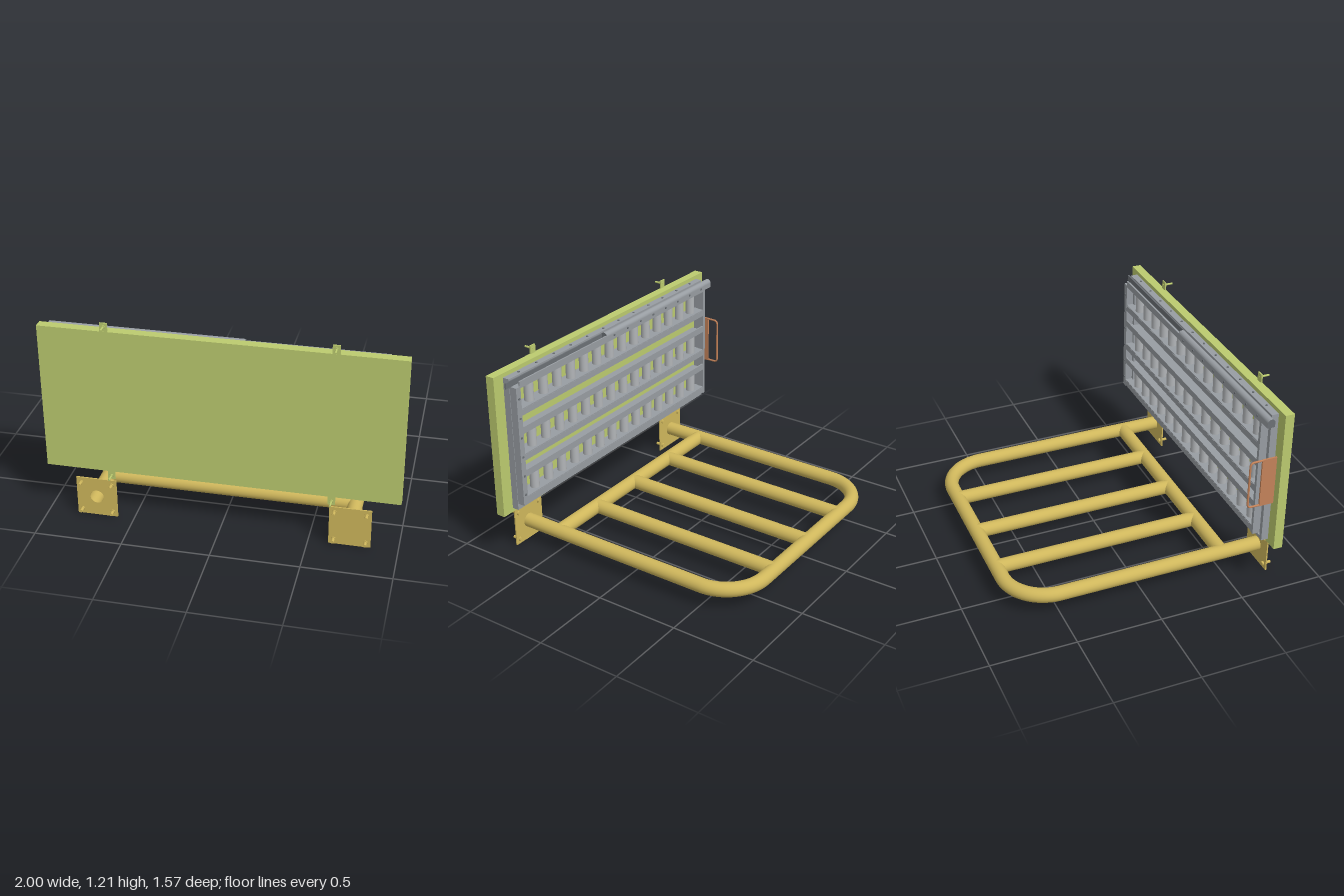
import * as THREE from 'three';

export function createModel() {
  const root = new THREE.Group();
  const mat = (name, color, side = THREE.FrontSide) => {
    const m = new THREE.MeshStandardMaterial({ color, side });
    m.name = name;
    return m;
  };
  const yellow = mat('yellow paint', 0xcfb75c, THREE.DoubleSide);
  const green = mat('green paint', 0xbccb6f);
  const grey = mat('grey steel', 0x989da2);
  const darkGrey = mat('dark steel', 0x6c7176);
  const light = mat('light roller', 0xb2b5b8);
  const copper = mat('copper', 0xc4835a);

  const group = (name) => {
    const g = new THREE.Group();
    g.name = name;
    root.add(g);
    return g;
  };
  const add = (parent, name, geo, material, x = 0, y = 0, z = 0) => {
    const m = new THREE.Mesh(geo, material);
    m.name = name;
    m.position.set(x, y, z);
    parent.add(m);
    return m;
  };
  // box given by its limits
  const box = (parent, name, material, x0, x1, y0, y1, z0, z1) =>
    add(parent, name, new THREE.BoxGeometry(x1 - x0, y1 - y0, z1 - z0), material,
      (x0 + x1) / 2, (y0 + y1) / 2, (z0 + z1) / 2);
  // cylinder along z
  const pin = (parent, name, material, r, x, y, z0, z1, sides = 12) => {
    const geo = new THREE.CylinderGeometry(r, r, z1 - z0, sides).rotateX(Math.PI / 2);
    return add(parent, name, geo, material, x, y, (z0 + z1) / 2);
  };
  const rect = (T, x0, x1, y0, y1) => new T().moveTo(x0, y0).lineTo(x1, y0).lineTo(x1, y1).lineTo(x0, y1).closePath();
  const V = (x, y, z) => new THREE.Vector3(x, y, z);

  // Tubular guard: U-shaped rail, cross bar and three bars
  const guard = group('guard');
  guard.position.set(0.008, 0.12, 0);
  const R = 0.0425, W = 0.722, BACK = -0.742, BEND = 0.25;
  const k = BEND * 0.4477;
  const line = (a, b) => new THREE.LineCurve3(a, b);
  const tube = (name, curve, segments) =>
    add(guard, name, new THREE.TubeGeometry(curve, segments, R, 24), yellow);
  for (const s of [-1, 1]) {
    tube('sideRail', line(V(s * W, 0, 0.745), V(s * W, 0, BACK + BEND)), 1);
    tube('cornerBend', new THREE.CubicBezierCurve3(
      V(s * W, 0, BACK + BEND), V(s * W, 0, BACK + k),
      V(s * (W - k), 0, BACK), V(s * (W - BEND), 0, BACK)), 16);
  }
  tube('rearRail', line(V(-W + BEND, 0, BACK), V(W - BEND, 0, BACK)), 1);
  tube('crossBar', line(V(-W, 0, 0.507), V(W, 0, 0.507)), 1);
  for (const x of [-0.367, 0, 0.367]) {
    tube('innerBar', line(V(x, 0, 0.507), V(x, 0, BACK)), 1);
  }

  // Mounting plates with bolts; the right one is bored
  for (const [cx, bored] of [[-0.712, true], [0.73, false]]) {
    const mount = group('mount');
    mount.position.set(cx, 0.12, 0);
    const shape = rect(THREE.Shape, -0.117, 0.117, -0.12, 0.118);
    if (bored) shape.holes.push(new THREE.Path().absarc(0, 0, 0.04, 0, Math.PI * 2, true));
    add(mount, 'mountingPlate',
      new THREE.ExtrudeGeometry(shape, { depth: 0.008, bevelEnabled: false, curveSegments: 24 }),
      yellow, 0, 0, 0.74);
    for (const x of [-0.089, 0.089]) for (const y of [-0.088, 0.088]) {
      pin(mount, 'bolt', yellow, 0.009, x, y, 0.728, 0.785);
      pin(mount, 'boltHead', yellow, 0.014, x, y, 0.729, 0.741, 6);
      pin(mount, 'boltNut', yellow, 0.013, x, y, 0.748, 0.755, 6);
    }
  }

  // Front panel and its tabs
  const panel = group('panel');
  box(panel, 'frontPanel', green, -1, 1, 0.29, 1.16, 0.677, 0.731);
  for (const x of [-0.625, 0.62]) for (const [y0, y1, py] of [[1.15, 1.21, 1.188], [0.24, 0.3, 0.262]]) {
    box(panel, 'tab', green, x - 0.021, x + 0.021, y0, y1, 0.722, 0.73);
    pin(panel, 'tabPin', green, 0.006, x, py, 0.72, 0.78);
    pin(panel, 'tabNut', green, 0.011, x, py, 0.73, 0.737, 6);
  }

  // Outer frame against the panel
  const frame = group('frame');
  const outline = rect(THREE.Shape, -0.93, 0.925, 0.315, 1.135);
  outline.holes.push(rect(THREE.Path, -0.905, 0.865, 0.335, 1.11));
  add(frame, 'outerFrame', new THREE.ExtrudeGeometry(outline, { depth: 0.043, bevelEnabled: false }),
    grey, 0, 0, 0.635);
  box(frame, 'endPost', grey, 0.885, 0.922, 0.355, 1.09, 0.59, 0.635);
  box(frame, 'endPost', grey, -0.905, -0.885, 0.355, 1.09, 0.59, 0.635);
  box(frame, 'latchStrip', darkGrey, 0.1, 0.96, 1.09, 1.125, 0.628, 0.635);

  // Rounded top bar with a dark end
  const topShape = new THREE.Shape().moveTo(-0.0225, 1.085).lineTo(0.0225, 1.085).lineTo(0.0225, 1.113)
    .absarc(0, 1.113, 0.0225, 0, Math.PI, false).closePath();
  const barGeo = new THREE.ExtrudeGeometry(topShape, { depth: 1.09, bevelEnabled: false });
  barGeo.rotateY(Math.PI / 2);
  add(frame, 'topBar', barGeo, [darkGrey, grey], -0.97, 0, 0.6125);

  // Rivets
  for (let i = 0; i < 8; i++) pin(frame, 'rivet', darkGrey, 0.007, -0.86 + i * 0.13, 1.103, 0.586, 0.592, 8);
  for (let i = 0; i < 6; i++) pin(frame, 'rivet', darkGrey, 0.007, 0.903, 0.42 + i * 0.12, 0.586, 0.592, 8);
  for (let i = 0; i < 12; i++) {
    const rivet = pin(frame, 'rivet', darkGrey, 0.007, -0.83 + i * 0.15, 1.136, 0.652, 0.658, 8);
    rivet.position.z = 0.657;
    rivet.rotation.x = Math.PI / 2;
  }

  // Roller rows, each held between two lipped rails
  const rollers = group('rollerRows');
  const rollerGeo = new THREE.CylinderGeometry(0.028, 0.028, 0.13, 16);
  for (const y of [1.015, 0.735, 0.465]) {
    for (const s of [-1, 1]) {
      const shelf = y + s * 0.068, lip = shelf + s * 0.036;
      box(rollers, 'railShelf', grey, -0.89, 0.89, shelf - 0.006, shelf + 0.006, 0.592, 0.678);
      box(rollers, 'railLip', grey, -0.89, 0.89, Math.min(shelf, lip), Math.max(shelf, lip), 0.591, 0.6);
    }
    for (let i = 0; i < 14; i++) {
      add(rollers, 'roller', rollerGeo, light, -0.8 + i * 0.121, y, 0.635);
    }
  }

  // Copper handle and its bracket
  const handle = group('handle');
  box(handle, 'handleBracket', copper, -0.952, -0.942, 0.575, 0.875, 0.59, 0.677);
  const path = new THREE.CurvePath();
  const X = -0.947, corner = 0.025, Z0 = 0.6, Z1 = 0.52, LOW = 0.58, HIGH = 0.87;
  path.add(line(V(X, LOW, Z0), V(X, LOW, Z1 + corner)));
  path.add(new THREE.QuadraticBezierCurve3(V(X, LOW, Z1 + corner), V(X, LOW, Z1), V(X, LOW + corner, Z1)));
  path.add(line(V(X, LOW + corner, Z1), V(X, HIGH - corner, Z1)));
  path.add(new THREE.QuadraticBezierCurve3(V(X, HIGH - corner, Z1), V(X, HIGH, Z1), V(X, HIGH, Z1 + corner)));
  path.add(line(V(X, HIGH, Z1 + corner), V(X, HIGH, Z0)));
  add(handle, 'handleLoop', new THREE.TubeGeometry(path, 80, 0.006, 10), copper);

  return root;
}
